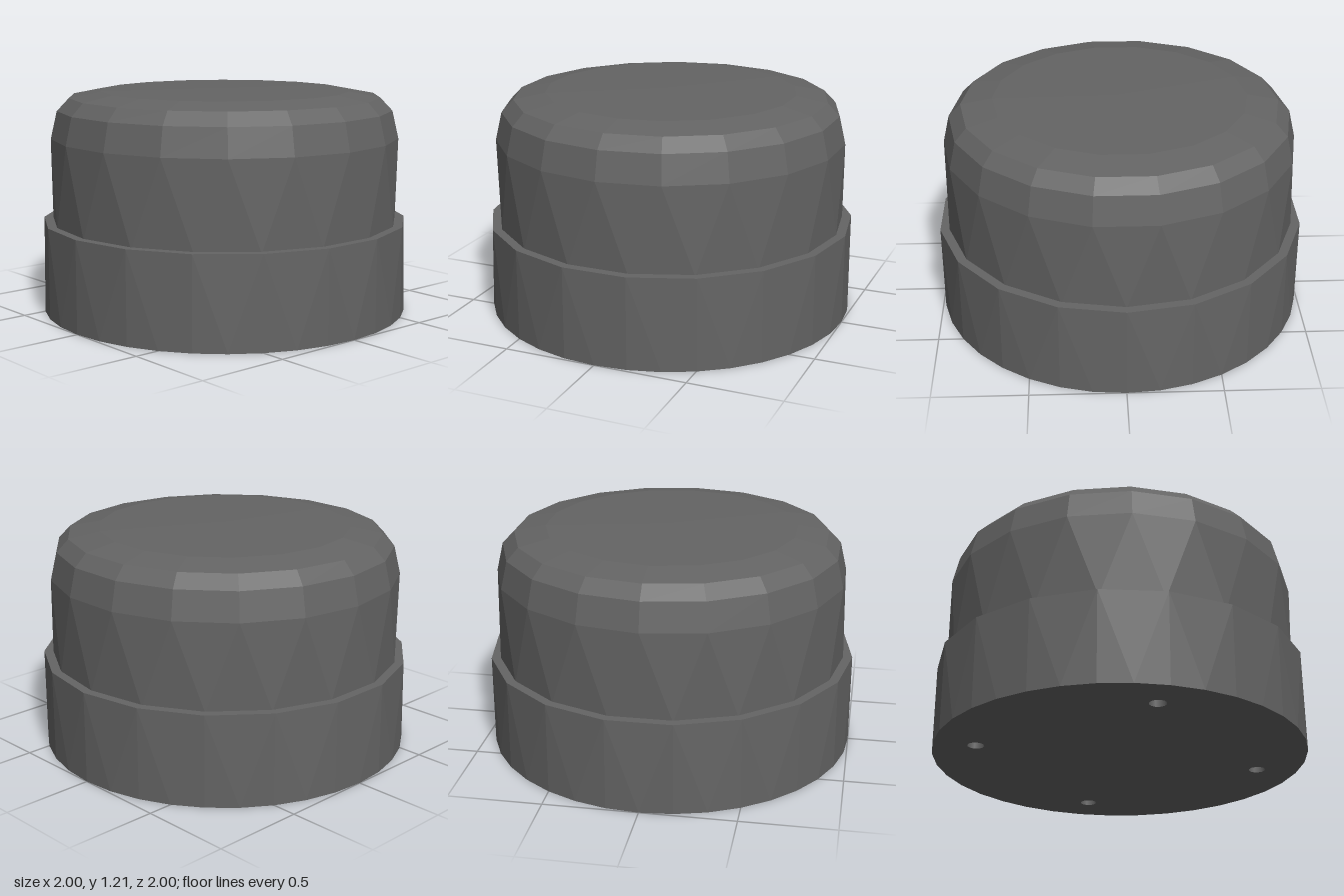
import * as THREE from 'three';

const SIDES = 18;
const BASE_TOP = 0.495;
const DARK_GREY = 0x646464;

// Point on a horizontal circle, at a step counted in sides
function onRing(r, y, step) {
  const a = (step / SIDES) * Math.PI * 2;
  return [r * Math.cos(a), y, r * Math.sin(a)];
}

function facetedMesh(name, triangles, material) {
  const geometry = new THREE.BufferGeometry();
  geometry.setAttribute('position', new THREE.Float32BufferAttribute(triangles, 3));
  geometry.computeVertexNormals();
  const mesh = new THREE.Mesh(geometry, material);
  mesh.name = name;
  return mesh;
}

export function createModel() {
  const model = new THREE.Group();
  model.name = 'cappedKnob';
  const material = new THREE.MeshStandardMaterial({ color: DARK_GREY, flatShading: true });
  const holeMaterial = new THREE.MeshStandardMaterial({ color: DARK_GREY, side: THREE.DoubleSide });

  // Base wall: coarse upper rim, finer lower rim, closed by a flat ledge
  const base = [];
  for (let i = 0; i < SIDES; i++) {
    const top = onRing(1, BASE_TOP, i), topNext = onRing(1, BASE_TOP, i + 1);
    const low = onRing(1, 0, i), mid = onRing(1, 0, i + 0.5), lowNext = onRing(1, 0, i + 1);
    base.push(...low, ...top, ...mid);
    base.push(...top, ...topNext, ...mid);
    base.push(...mid, ...topNext, ...lowNext);
    base.push(...top, 0, BASE_TOP, 0, ...topNext);
  }
  model.add(facetedMesh('base', base, material));

  // Cap: each ring is radius, height, turn in sides; the wall is staggered, the shoulder straight
  const profile = [
    [0.95, BASE_TOP - 0.01, 0], [0.95, 0.95, 0.5], [0.915, 1.1, 0.5],
    [0.85, 1.168, 0.5], [0.68, 1.2, 0.5],
  ];
  const cap = [];
  for (let k = 0; k < profile.length - 1; k++) {
    const [r0, y0, turn0] = profile[k], [r1, y1, turn1] = profile[k + 1];
    for (let i = 0; i < SIDES; i++) {
      const low = onRing(r0, y0, i + turn0), lowNext = onRing(r0, y0, i + 1 + turn0);
      const up = onRing(r1, y1, i + turn1), upNext = onRing(r1, y1, i + 1 + turn1);
      cap.push(...low, ...up, ...lowNext);
      cap.push(...up, ...upNext, ...lowNext);
    }
  }
  // Slightly domed top
  const [rimR, rimY, rimTurn] = profile[profile.length - 1];
  for (let i = 0; i < SIDES; i++) {
    cap.push(...onRing(rimR, rimY, i + rimTurn), 0, 1.21, 0, ...onRing(rimR, rimY, i + 1 + rimTurn));
  }
  model.add(facetedMesh('cap', cap, material));

  // Underside pierced by four screw holes
  const circle = (cx, cy, r, n) => Array.from({ length: n }, (_, i) => {
    const a = (i / n) * Math.PI * 2;
    return new THREE.Vector2(cx + r * Math.cos(a), cy + r * Math.sin(a));
  });
  const HOLE_R = 0.045, HOLE_DEPTH = 0.2;
  const floor = new THREE.Shape(circle(0, 0, 1, SIDES * 2));
  for (let i = 0; i < 4; i++) {
    const a = (i * Math.PI) / 2;
    const x = 0.775 * Math.cos(a), z = 0.775 * Math.sin(a);
    floor.holes.push(new THREE.Path(circle(x, z, HOLE_R, 12)));

    const hole = new THREE.Group();
    hole.name = 'screwHole' + (i + 1);
    const wall = new THREE.Mesh(
      new THREE.CylinderGeometry(HOLE_R, HOLE_R, HOLE_DEPTH, 12, 1, true), holeMaterial);
    wall.name = 'holeWall';
    wall.position.y = HOLE_DEPTH / 2;
    const end = new THREE.Mesh(new THREE.CircleGeometry(HOLE_R, 12).rotateX(Math.PI / 2), holeMaterial);
    end.name = 'holeEnd';
    end.position.y = HOLE_DEPTH;
    hole.add(wall, end);
    hole.position.set(x, 0, z);
    model.add(hole);
  }
  const underside = new THREE.Mesh(new THREE.ShapeGeometry(floor).rotateX(Math.PI / 2), material);
  underside.name = 'underside';
  model.add(underside);

  return model;
}
